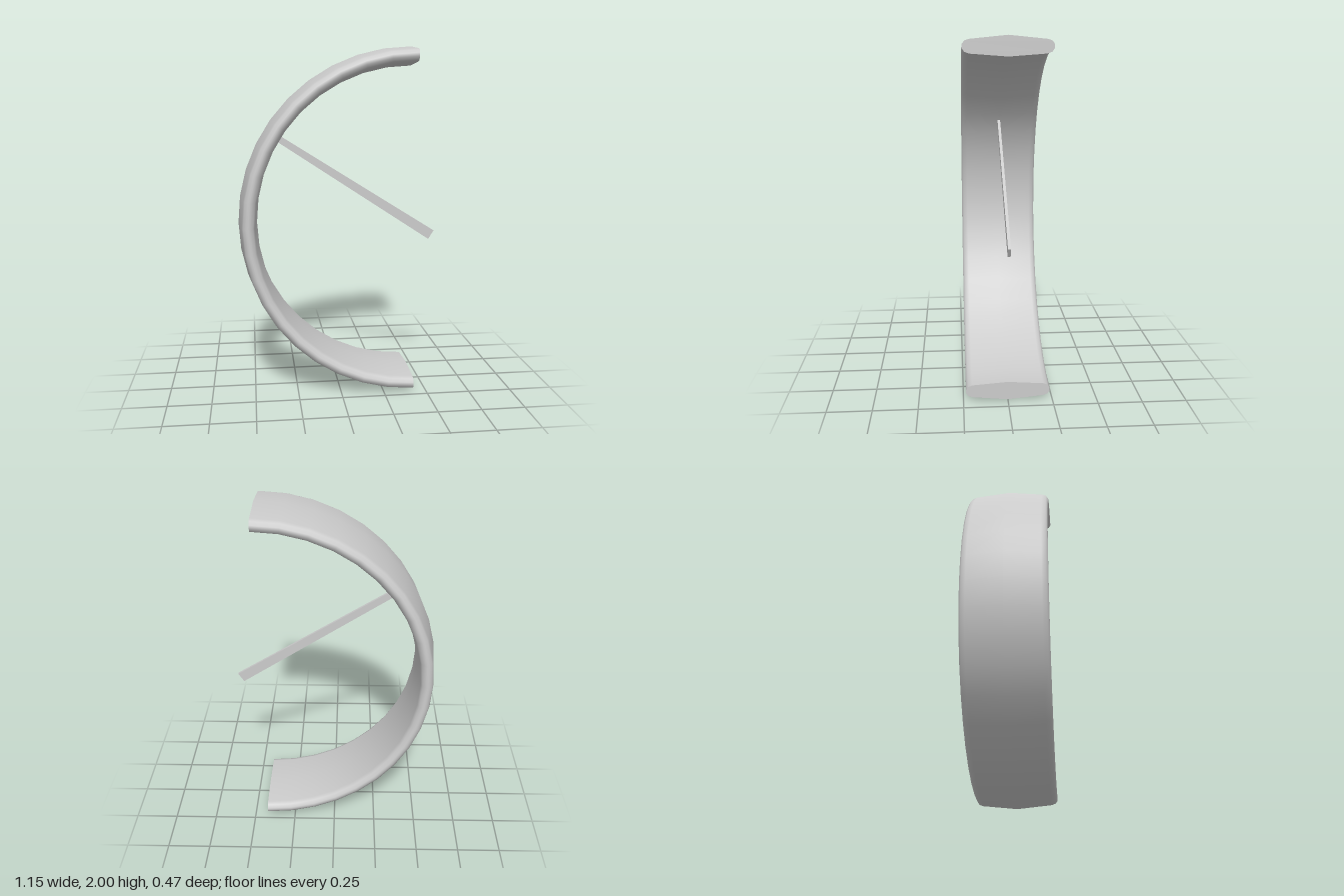
import * as THREE from 'three';

export function createModel() {
  const group = new THREE.Group();
  const mat = new THREE.MeshStandardMaterial({ color: 0xcccccc, side: THREE.DoubleSide });
  const add = (geo, name, parent = group) => {
    const mesh = new THREE.Mesh(geo, mat);
    mesh.name = name;
    parent.add(mesh);
    return mesh;
  };

  // Half-ring band: lens-shaped section (radius, depth) with rounded rims
  const band = new THREE.Group();
  band.name = 'band';
  band.position.set(0.42, 1, 0);
  group.add(band);

  const outer = [[0.955, 0.235], [0.972, 0.223], [0.98, 0.2], [1, 0]];
  const inner = [[0.893, 0], [0.908, 0.2], [0.917, 0.223], [0.935, 0.235]];
  const flip = (pts) => pts.map(([r, z]) => [r, -z]);
  const section = [
    [0.945, -0.235], ...flip(outer), ...outer.slice(0, 3).reverse(),
    [0.945, 0.235], ...inner.slice(1).reverse(), ...flip(inner), [0.945, -0.235],
  ].map(([r, z]) => new THREE.Vector2(r, z));

  const sweep = new THREE.LatheGeometry(section, 20, Math.PI, Math.PI);
  sweep.rotateX(Math.PI / 2);
  add(sweep, 'bandSurface', band);

  // Flat caps closing both ends of the band
  const toEnd = new THREE.Matrix4().makeBasis(
    new THREE.Vector3(0, 1, 0), new THREE.Vector3(0, 0, 1), new THREE.Vector3(1, 0, 0));
  for (const [name, turn] of [['upperEndCap', 0], ['lowerEndCap', Math.PI]]) {
    const cap = new THREE.ShapeGeometry(new THREE.Shape(section.slice(0, -1)));
    cap.applyMatrix4(toEnd).rotateX(turn);
    add(cap, name, band);
  }

  // Thin tapered bar reaching from the inside of the band
  const outline = [[-0.344, 1.46], [0.543, 0.877], [0.575, 0.928], [-0.325, 1.492]];
  const bar = new THREE.ExtrudeGeometry(
    new THREE.Shape(outline.map(([x, y]) => new THREE.Vector2(x, y))),
    { depth: 0.016, bevelEnabled: false });
  bar.translate(0, 0, -0.004);
  add(bar, 'taperedBar');

  return group;
}
